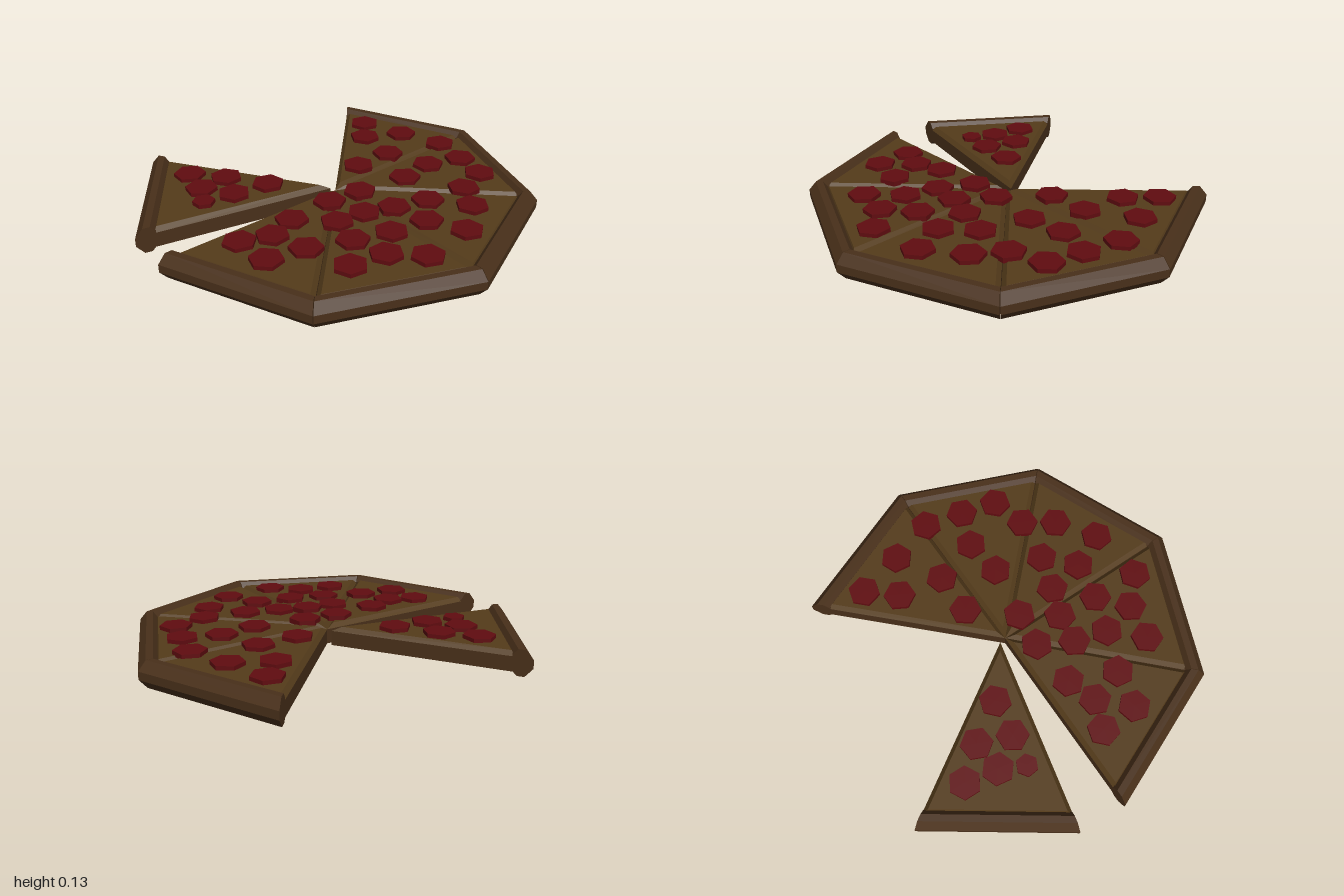
import * as THREE from 'three';

const HALF = Math.PI / 8, COS = Math.cos(HALF), SIN = Math.sin(HALF), TAN = Math.tan(HALF);
const mat = (color) => new THREE.MeshStandardMaterial({ color, flatShading: true });

// Solid through matching convex loops, each counter-clockwise seen from the last one's end
function loft(loops) {
  const pos = [];
  const tri = (...p) => p.forEach((v) => pos.push(...v));
  const n = loops[0].length;
  const first = loops[0], last = loops[loops.length - 1];
  for (let k = 0; k + 1 < loops.length; k++) {
    const a = loops[k], b = loops[k + 1];
    for (let i = 0; i < n; i++) {
      const j = (i + 1) % n;
      tri(a[i], a[j], b[j]);
      tri(a[i], b[j], b[i]);
    }
  }
  for (let i = 1; i + 1 < n; i++) {
    tri(last[0], last[i], last[i + 1]);
    tri(first[0], first[i + 1], first[i]);
  }
  const g = new THREE.BufferGeometry();
  g.setAttribute('position', new THREE.Float32BufferAttribute(pos, 3));
  g.computeVertexNormals();
  return g;
}

// Wedge outline at height y; inset pulls it in from the cut sides
function wedge(y, r, inset = 0) {
  const tip = inset / SIN, x = r * COS - inset * 0.5, z = (x - tip) * TAN;
  return [[tip, y, 0], [x, y, z], [x, y, -z]];
}

// Crust section as [corner radius, height]
const crustProfile = [
  [0.92, 0], [0.955, 0], [0.993, 0.045], [0.993, 0.085],
  [0.955, 0.13], [0.92, 0.13], [0.895, 0.1], [0.895, 0.025],
];

export function createModel() {
  const model = new THREE.Group();
  model.name = 'pizza';
  const crustMat = mat(0x49301a), cheeseMat = mat(0x543b1a), meatMat = mat(0x600c10);

  const crustGeo = loft([-1, 1].map((s) => crustProfile.map(([r, y]) => [r * COS, y, s * r * SIN])));
  const doughGeo = loft([wedge(0.018, 0.91), wedge(0.092, 0.91)]);
  const cheeseGeo = loft([wedge(0.092, 0.905), wedge(0.114, 0.905, 0.02)]);

  function addSlice(name, x, z, degrees) {
    const slice = new THREE.Group();
    slice.name = name;
    const parts = [['crust', crustGeo, crustMat], ['dough', doughGeo, crustMat], ['cheese', cheeseGeo, cheeseMat]];
    for (const [part, geo, m] of parts) {
      const mesh = new THREE.Mesh(geo, m);
      mesh.name = part;
      slice.add(mesh);
    }
    slice.position.set(x, 0, z);
    slice.rotation.y = -THREE.MathUtils.degToRad(degrees);
    model.add(slice);
  }

  // Five joined slices and one pulled away
  for (let i = 0; i < 5; i++) addSlice('slice' + (i + 1), -0.004, 0, -67.3 + i * 45.2);
  addSlice('looseSlice', -0.03, -0.02, 170.85);

  // Pepperoni: x, z and optional radius
  const spots = [
    [0.11, -0.74], [0.32, -0.62], [0.12, -0.56], [0.53, -0.51], [0.25, -0.37], [0.1, -0.22],
    [0.46, -0.26], [0.63, -0.34], [0.72, -0.18], [0.34, -0.11], [0.63, -0.02], [0.12, -0.05 + 0.1],
    [0.45, 0.11], [0.66, 0.15], [-0.02, 0.16], [0.29, 0.19], [0.15, 0.25], [0.44, 0.3],
    [0.03, 0.34], [0.62, 0.37], [-0.18, 0.34], [0.28, 0.41], [0.11, 0.49], [-0.25, 0.48],
    [-0.39, 0.54], [-0.09, 0.57], [0.26, 0.59], [0.44, 0.59], [-0.25, 0.67], [0.11, 0.69],
    [-0.75, -0.06], [-0.56, -0.04], [-0.34, 0.01], [-0.66, 0.08], [-0.49, 0.12], [-0.62, 0.21, 0.055],
  ];
  const meatGeo = new THREE.CylinderGeometry(1, 1, 0.025, 6);
  spots.forEach(([x, z, r = 0.08], i) => {
    const disc = new THREE.Mesh(meatGeo, meatMat);
    disc.name = 'pepperoni' + (i + 1);
    disc.position.set(x, 0.1205 + (i % 3) * 0.0006, z);
    disc.scale.set(r, 1, r);
    disc.rotation.y = i * 1.7;
    model.add(disc);
  });
  return model;
}
